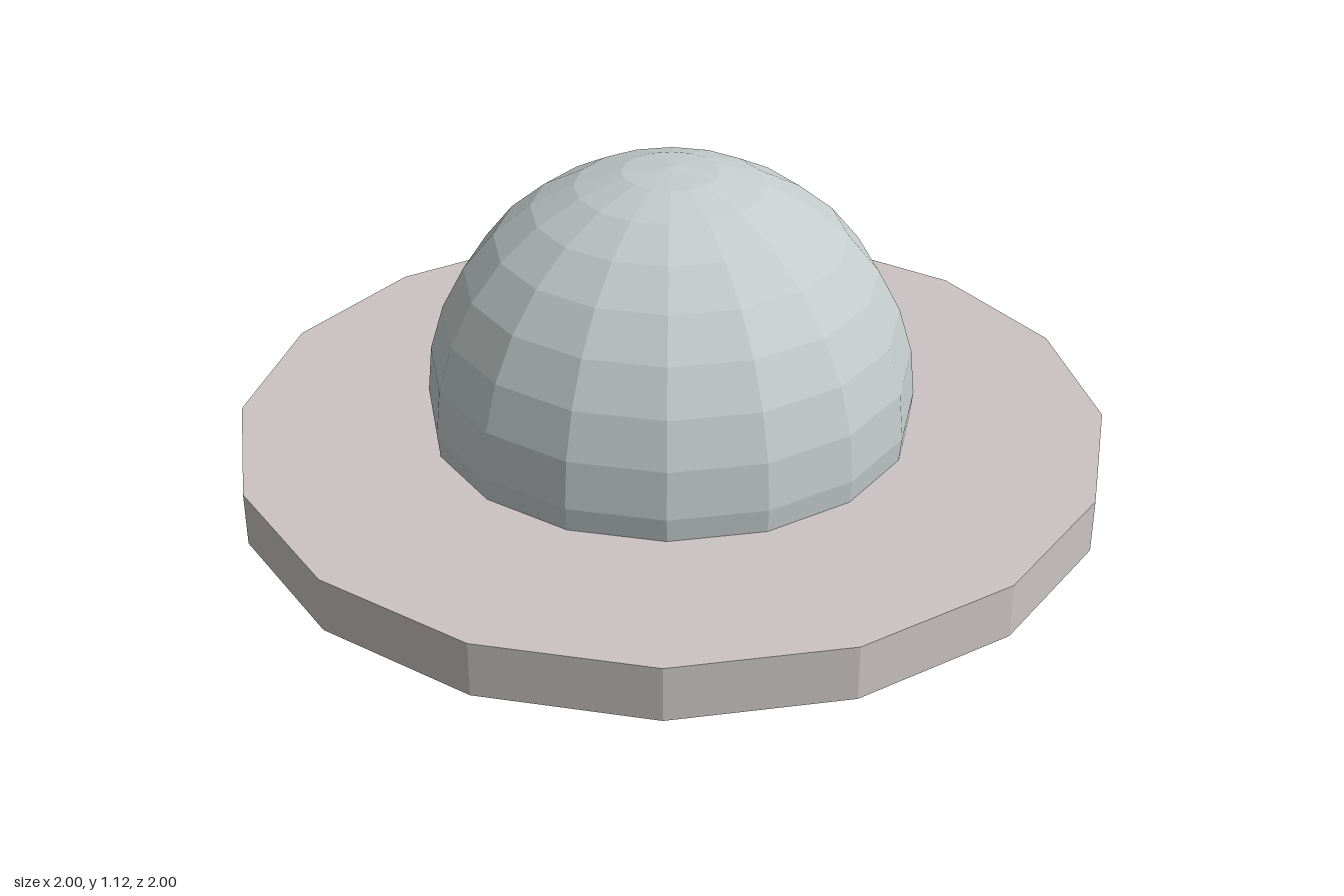
import * as THREE from 'three';

const SIDES = 16;

function addPart(group, name, geometry, color, y) {
  const material = new THREE.MeshStandardMaterial({ color, flatShading: true });
  const mesh = new THREE.Mesh(geometry, material);
  mesh.name = name;
  mesh.position.y = y;
  group.add(mesh);
}

// Solid disc between two heights
function addDisc(group, name, radius, bottom, top, color) {
  const geometry = new THREE.CylinderGeometry(radius, radius, top - bottom, SIDES);
  addPart(group, name, geometry, color, (bottom + top) / 2);
}

export function createModel() {
  const group = new THREE.Group();
  group.name = 'ringedSphere';

  // Faceted central ball
  addPart(group, 'sphere', new THREE.SphereGeometry(0.56, SIDES, 16), 0xc3cccb, 0.56);

  // Wide rim and the thinner plate under it
  addDisc(group, 'rim', 1, 0.38, 0.505, 0xccc4c4);
  addDisc(group, 'underPlate', 0.875, 0.348, 0.38, 0xa9bebe);

  return group;
}
